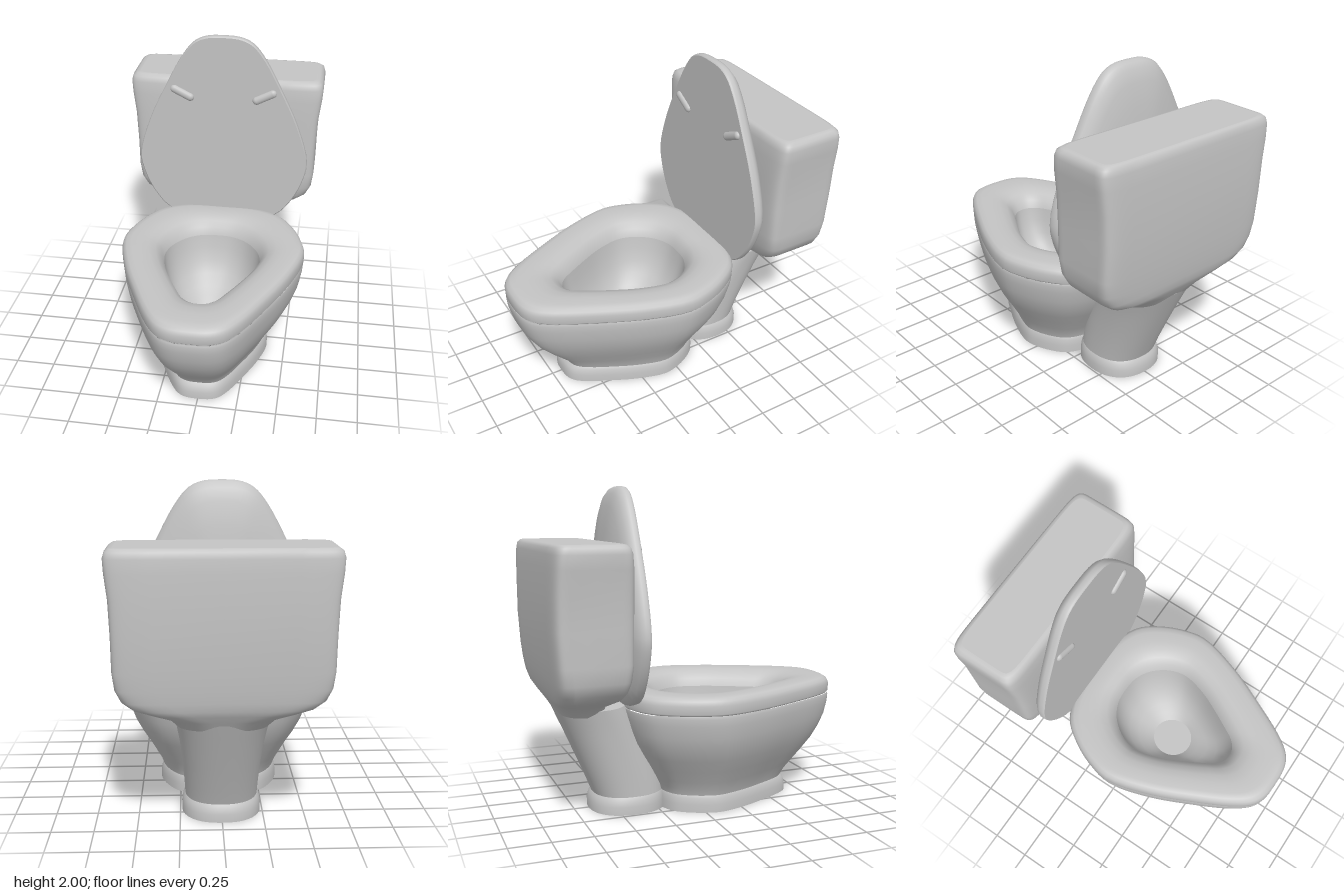
import * as THREE from 'three';

const ceramic = new THREE.MeshStandardMaterial({ color: 0xc4c4c4 });
ceramic.name = 'ceramic grey';

const SIDES = 80;

// Half outlines (x, z), from front tip to back
const OUTER = [[0, 0.98], [0.12, 0.97], [0.2, 0.93], [0.28, 0.83], [0.4, 0.6], [0.52, 0.33], [0.595, 0.05],
  [0.57, -0.1], [0.5, -0.26], [0.4, -0.385], [0.23, -0.455], [0, -0.46]];
const INNER = [[0, 0.625], [0.05, 0.615], [0.1, 0.575], [0.145, 0.5], [0.21, 0.38], [0.275, 0.24], [0.312, 0.09],
  [0.3, 0], [0.26, -0.08], [0.19, -0.155], [0.1, -0.2], [0, -0.21]];

// Mirrors a half outline and samples it as a smooth closed ring of [x, z]
function outline(half) {
  const all = [...half, ...half.slice(1, -1).reverse().map(([x, z]) => [-x, z])];
  const curve = new THREE.CatmullRomCurve3(all.map(([x, z]) => new THREE.Vector3(x, 0, z)), true);
  return Array.from({ length: SIDES }, (_, i) => {
    const p = curve.getPoint(i / SIDES);
    return [p.x, p.z];
  });
}

// Superellipse ring: half width, front z, back z, exponent (2 = ellipse)
function superRing(hx, zf, zb, n = 2) {
  const pow = (v) => Math.sign(v) * Math.abs(v) ** (2 / n);
  return Array.from({ length: SIDES }, (_, i) => {
    const a = (i / SIDES) * Math.PI * 2;
    return [hx * pow(Math.sin(a)), (zf + zb) / 2 + ((zf - zb) / 2) * pow(Math.cos(a))];
  });
}

const mix = (a, b, k) => a.map(([x, z], i) => [x + (b[i][0] - x) * k, z + (b[i][1] - z) * k]);

// Skins a stack of { y, ring }; caps get their own vertices so their edge stays sharp
function loft(stack, capStart = false, capEnd = false) {
  const pos = [], index = [];
  stack.forEach(({ y, ring }) => ring.forEach(([x, z]) => pos.push(x, y, z)));
  for (let r = 0; r < stack.length - 1; r++) {
    for (let i = 0; i < SIDES; i++) {
      const j = (i + 1) % SIDES;
      const a = r * SIDES + i, b = r * SIDES + j;
      index.push(a, b, b + SIDES, a, b + SIDES, a + SIDES);
    }
  }
  const cap = ({ y, ring }, up) => {
    const base = pos.length / 3;
    ring.forEach(([x, z]) => pos.push(x, y, z));
    const cz = ring.reduce((s, p) => s + p[1], 0) / SIDES;
    pos.push(0, y, cz);
    for (let i = 0; i < SIDES; i++) {
      const a = base + i, b = base + ((i + 1) % SIDES), c = base + SIDES;
      if (up) index.push(a, b, c);
      else index.push(b, a, c);
    }
  };
  if (capStart) cap(stack[0], false);
  if (capEnd) cap(stack[stack.length - 1], true);
  const g = new THREE.BufferGeometry();
  g.setAttribute('position', new THREE.Float32BufferAttribute(pos, 3));
  g.setIndex(index);
  g.computeVertexNormals();
  return g;
}

export function createModel() {
  const model = new THREE.Group();
  model.name = 'toilet';
  const add = (name, geometry) => {
    const mesh = new THREE.Mesh(geometry, ceramic);
    mesh.name = name;
    model.add(mesh);
    return mesh;
  };
  const outer = outline(OUTER), inner = outline(INNER);

  // Outer ring resized to a half width and a front/back span
  const sized = (hx, zf, zb) => outer.map(([x, z]) => [x * hx / 0.595, zb + (z + 0.46) / 1.44 * (zf - zb)]);
  const sizedStack = (rows) => rows.map(([y, hx, zf, zb]) => ({ y, ring: sized(hx, zf, zb) }));

  // Bowl and its foot
  add('bowl', loft(sizedStack([
    [0.105, 0.365, 0.652, -0.215], [0.15, 0.382, 0.68, -0.23], [0.2, 0.41, 0.725, -0.26],
    [0.28, 0.455, 0.8, -0.305], [0.36, 0.505, 0.868, -0.355], [0.44, 0.545, 0.918, -0.4],
    [0.52, 0.573, 0.955, -0.43], [0.6, 0.588, 0.975, -0.452], [0.645, 0.592, 0.98, -0.46],
    [0.662, 0.588, 0.975, -0.46]])));
  add('bowlFoot', loft(sizedStack([
    [0, 0.38, 0.685, -0.225], [0.05, 0.38, 0.685, -0.225], [0.09, 0.374, 0.672, -0.222],
    [0.108, 0.364, 0.65, -0.215]]), true));

  // Padded seat ring
  const seatRows = [[0.664, 0.3], [0.664, 0.03], [0.675, 0], [0.725, -0.005], [0.752, 0.03], [0.768, 0.1],
    [0.775, 0.22], [0.775, 0.45], [0.769, 0.63], [0.75, 0.8], [0.715, 0.93], [0.665, 1]];
  add('seat', loft(seatRows.map(([y, k]) => ({ y, ring: mix(outer, inner, k) }))));

  // Inside of the bowl down to the flat drain
  const drain = superRing(0.13, 0.32, 0.05);
  const basinRows = [[0.665, 0], [0.58, 0.06], [0.49, 0.17], [0.41, 0.34], [0.35, 0.58], [0.31, 0.8], [0.27, 1]];
  add('basin', loft(basinRows.map(([y, k]) => ({ y, ring: mix(inner, drain, k) })), false, true));

  // Rear column and foot
  const superStack = (rows, n) => rows.map(([y, hx, zf, zb]) => ({ y, ring: superRing(hx, zf, zb, n) }));
  add('rearColumn', loft(superStack([
    [0.1, 0.22, -0.18, -0.63], [0.2, 0.225, -0.2, -0.67], [0.35, 0.235, -0.26, -0.735],
    [0.5, 0.25, -0.33, -0.8], [0.6, 0.265, -0.38, -0.845], [0.68, 0.28, -0.43, -0.88]], 2.3), false, true));
  add('rearFoot', loft(superStack([
    [0, 0.24, -0.17, -0.657], [0.05, 0.24, -0.17, -0.657], [0.09, 0.232, -0.175, -0.645],
    [0.11, 0.218, -0.18, -0.628]], 2.3), true));

  // Water tank, tapering into the column
  const tankRows = [[0.64, 0.26, -0.56, -0.855, 2.5], [0.7, 0.31, -0.58, -0.892, 3], [0.745, 0.42, -0.565, -0.92, 5],
    [0.78, 0.505, -0.55, -0.938, 7], [0.83, 0.565, -0.535, -0.948, 9], [0.9, 0.598, -0.52, -0.957, 10],
    [1, 0.61, -0.512, -0.967, 11], [1.2, 0.612, -0.51, -0.98, 11], [1.4, 0.62, -0.51, -0.98, 11],
    [1.54, 0.637, -0.513, -0.977, 11], [1.62, 0.642, -0.52, -0.972, 11], [1.655, 0.632, -0.53, -0.965, 11],
    [1.67, 0.612, -0.548, -0.95, 11], [1.674, 0.59, -0.565, -0.935, 11]];
  add('tank', loft(tankRows.map(([y, hx, zf, zb, n]) => ({ y, ring: superRing(hx, zf, zb, n) })), true, true));

  // Raised lid: flat front, domed back
  const lidRing = (s) => outer.map(([x, z]) => [x * 0.95 * s, 2 - 0.917 * (0.98 - (0.2 + (z - 0.2) * s))]);
  const lidRows = [[0, 0.988], [0.006, 0.998], [0.015, 1], [0.035, 1], [0.055, 0.985], [0.08, 0.94], [0.105, 0.84],
    [0.128, 0.66], [0.145, 0.45], [0.155, 0.25], [0.16, 0.06]];
  const lid = add('lid', loft(lidRows.map(([y, s]) => ({ y, ring: lidRing(s) })), true, true));
  lid.rotation.x = -Math.PI / 2;
  lid.position.z = -0.415;

  // Bumper pads on the lid
  for (const side of [-1, 1]) {
    const pad = add(side > 0 ? 'leftBumper' : 'rightBumper', new THREE.CapsuleGeometry(0.027, 0.115, 6, 14));
    pad.position.set(side * 0.27, 1.608, -0.417);
    pad.rotation.z = side * -1.1;
    pad.scale.z = 0.8;
  }
  return model;
}
